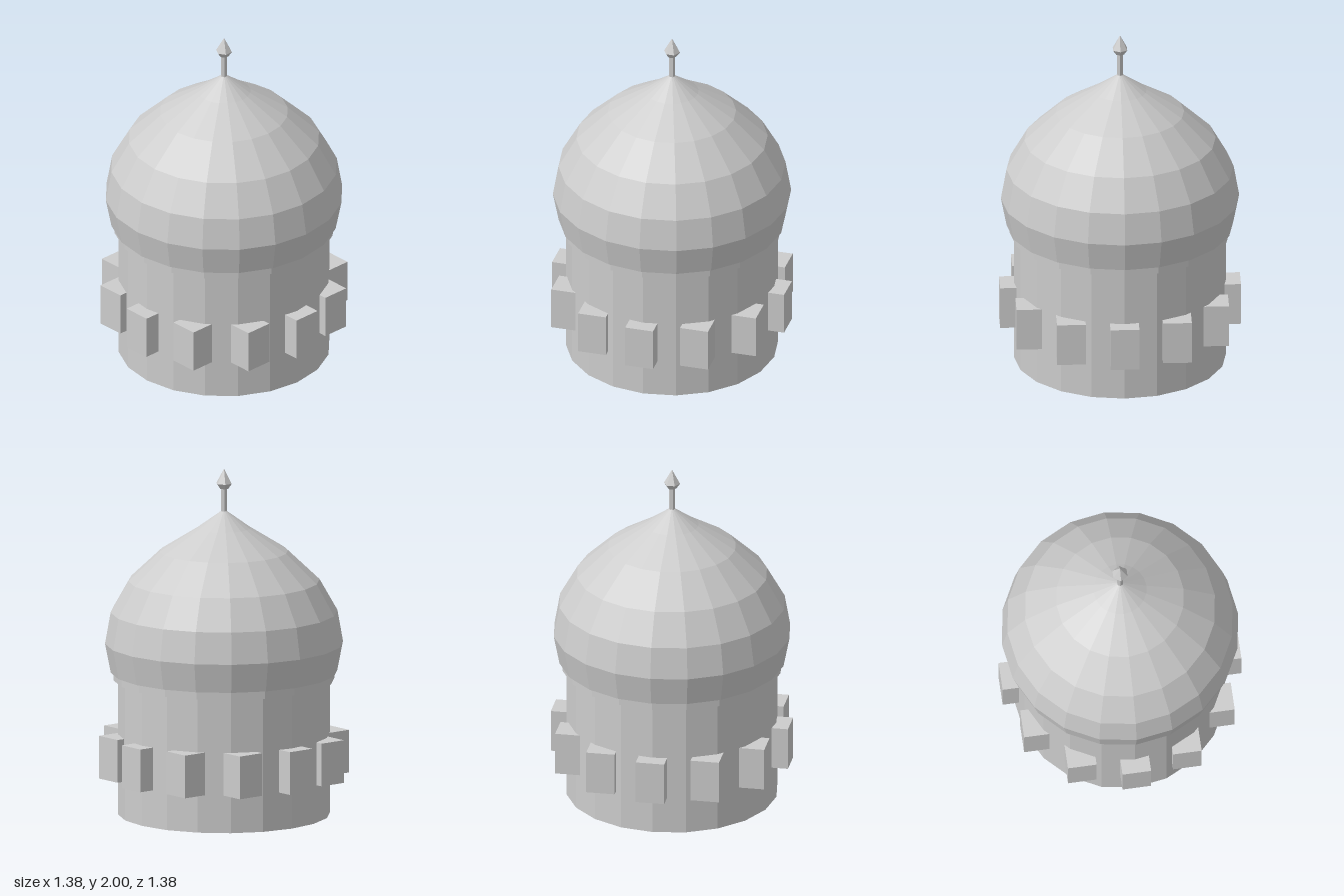
import * as THREE from 'three';

const SIDES = 20;

export function createModel() {
  const model = new THREE.Group();
  model.name = 'domedTower';
  const stone = new THREE.MeshStandardMaterial({ color: 0xcccccc, flatShading: true });
  stone.name = 'pale grey stone';

  const add = (name, geometry, y = 0) => {
    const mesh = new THREE.Mesh(geometry, stone);
    mesh.name = name;
    mesh.position.y = y;
    model.add(mesh);
    return mesh;
  };
  // Faceted solid of revolution from [radius, height] pairs, bottom to top
  const turned = (profile, sides) =>
    new THREE.LatheGeometry(profile.map(([r, y]) => new THREE.Vector2(r, y)), sides);

  // Round drum and the narrow collar under the dome
  add('drum', new THREE.CylinderGeometry(0.606, 0.606, 0.8, SIDES), 0.4);
  add('collar', new THREE.CylinderGeometry(0.63, 0.63, 0.046, SIDES), 0.8);

  // Onion dome with a flat underside
  add('dome', turned([
    [0, 0.823], [0.647, 0.823], [0.68, 0.992], [0.648, 1.173], [0.546, 1.353],
    [0.366, 1.523], [0.152, 1.657], [0, 1.767],
  ], SIDES));

  // Finial: thin rod with a pointed six-sided tip
  add('finialRod', new THREE.CylinderGeometry(0.018, 0.018, 0.15, 6), 1.825).rotation.y = Math.PI / 6;
  add('finialTip', turned([[0, 1.885], [0.026, 1.885], [0.047, 1.915], [0, 2]], 6)).rotation.y = Math.PI / 6;

  // Ring of twelve blocks, all square to the axes
  const block = new THREE.BoxGeometry(0.165, 0.248, 0.165);
  for (let i = 0; i < 12; i++) {
    const a = (i * Math.PI) / 6;
    const mesh = add('block' + (i + 1), block, 0.342);
    mesh.position.x = 0.605 * Math.sin(a);
    mesh.position.z = 0.605 * Math.cos(a);
  }
  return model;
}
